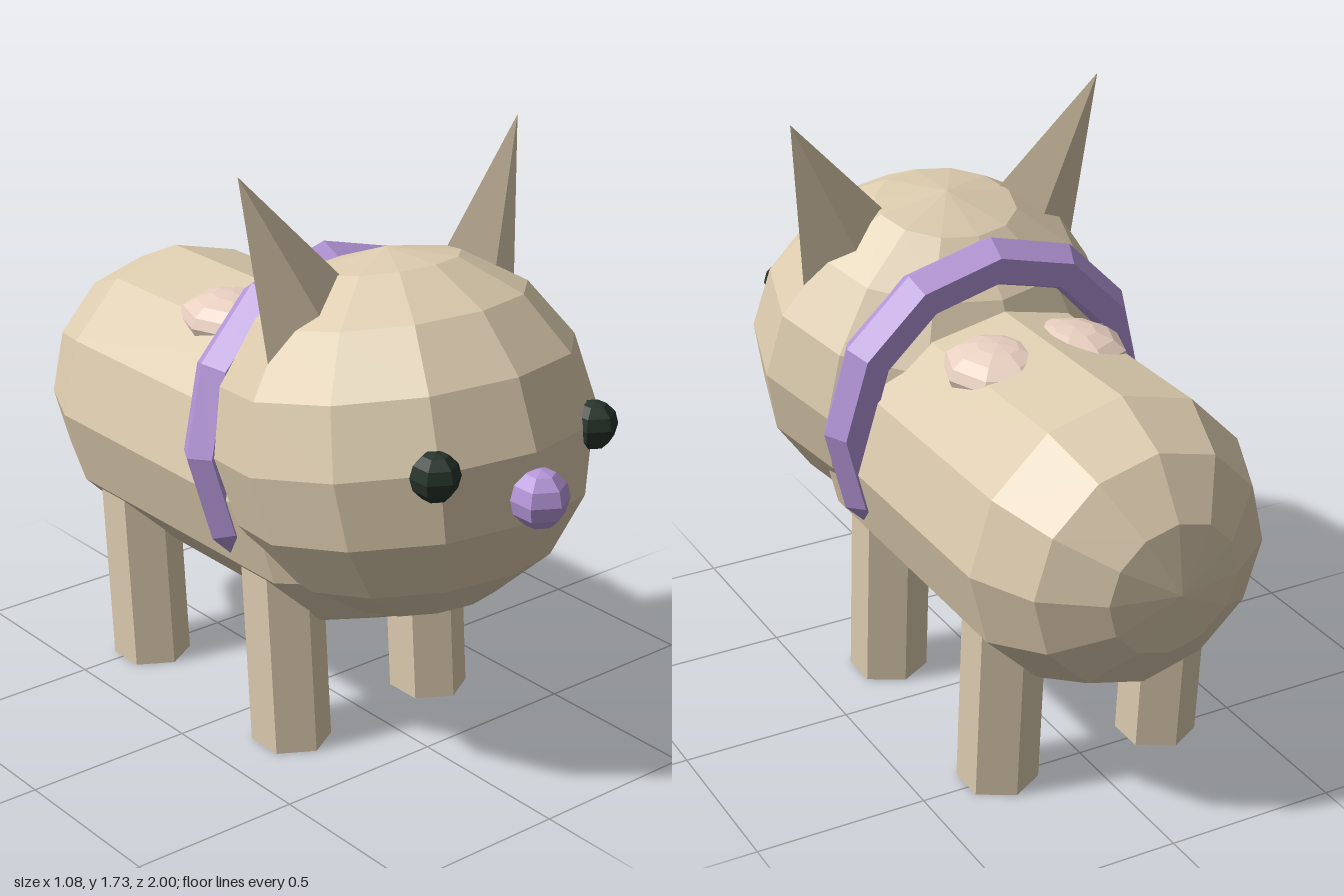
import * as THREE from 'three';

const mat = (color) => new THREE.MeshStandardMaterial({ color, flatShading: true });

// slide z as y grows, so that parts lean slightly backwards
const lean = (geometry, k) => geometry.applyMatrix4(new THREE.Matrix4().makeShear(0, 0, 0, -k, 0, 0));

export function createModel() {
  const model = new THREE.Group();
  const fur = mat(0xdccbae), pink = mat(0xe8cfc0), purple = mat(0xb596d9), dark = mat(0x26332a);

  const add = (name, geometry, material, x, y, z) => {
    const mesh = new THREE.Mesh(geometry, material);
    mesh.name = name;
    mesh.position.set(x, y, z);
    model.add(mesh);
    return mesh;
  };

  // body: twelve-sided barrel with rounded ends, lying along z
  const cap = [[0, 0.345], [0.195, 0.305], [0.35, 0.19], [0.435, 0]];
  const profile = [
    ...cap.map(([r, d]) => new THREE.Vector2(r, -0.655 - d)),
    ...cap.slice().reverse().map(([r, d]) => new THREE.Vector2(r, 0.265 + d)),
  ];
  const bodyGeo = new THREE.LatheGeometry(profile, 12).rotateX(Math.PI / 2);
  add('body', lean(bodyGeo, 0.06), fur, 0, 0.765, 0);

  // head: faceted ball tipped back
  const headGeo = new THREE.SphereGeometry(1, 12, 8).scale(0.54, 0.51, 0.52);
  add('head', headGeo, fur, 0, 0.945, 0.39).rotation.x = -0.19;

  // collar
  const collarGeo = new THREE.TorusGeometry(0.435, 0.075, 6, 12);
  add('collar', collarGeo, purple, 0, 0.885, 0.067).rotation.x = -0.075;

  // nose
  const ball = (r, rows) => new THREE.SphereGeometry(r, 6, rows).rotateY(Math.PI / 6);
  add('nose', ball(0.082, 6), purple, 0, 0.92, 0.918);

  // ear spike with its tip at the origin
  const spike = (w, h, d) =>
    lean(new THREE.ConeGeometry(1, h, 4).scale(w, 1, d).translate(0, -h / 2, 0), 0.12);

  for (const s of [1, -1]) {
    const side = s > 0 ? 'left' : 'right';
    add(side + 'Eye', ball(0.068, 6), dark, s * 0.28, 1.025, 0.825);

    add(side + 'Ear', spike(0.19, 0.55, 0.085), fur, s * 0.485, 1.725, 0.28).rotation.z = -s * 0.428;
    add(side + 'InnerEar', spike(0.09, 0.42, 0.06), pink, s * 0.43, 1.6, 0.316).rotation.z = -s * 0.428;

    // leaning hexagonal legs, flat on the ground
    for (const [end, z] of [['Front', 0.205], ['Rear', -0.485]]) {
      const leg = new THREE.CylinderGeometry(0.115, 0.115, 0.6, 6).translate(0, 0.3, 0);
      add(side + end + 'Leg', lean(leg, 0.075), fur, s * 0.26, 0, z);
    }

    // pink patch on the back
    const patch = new THREE.SphereGeometry(1, 8, 8).scale(0.15, 0.078, 0.175);
    add(side + 'BackPatch', patch, pink, s * 0.12, 1.12, -0.23);
  }
  return model;
}
